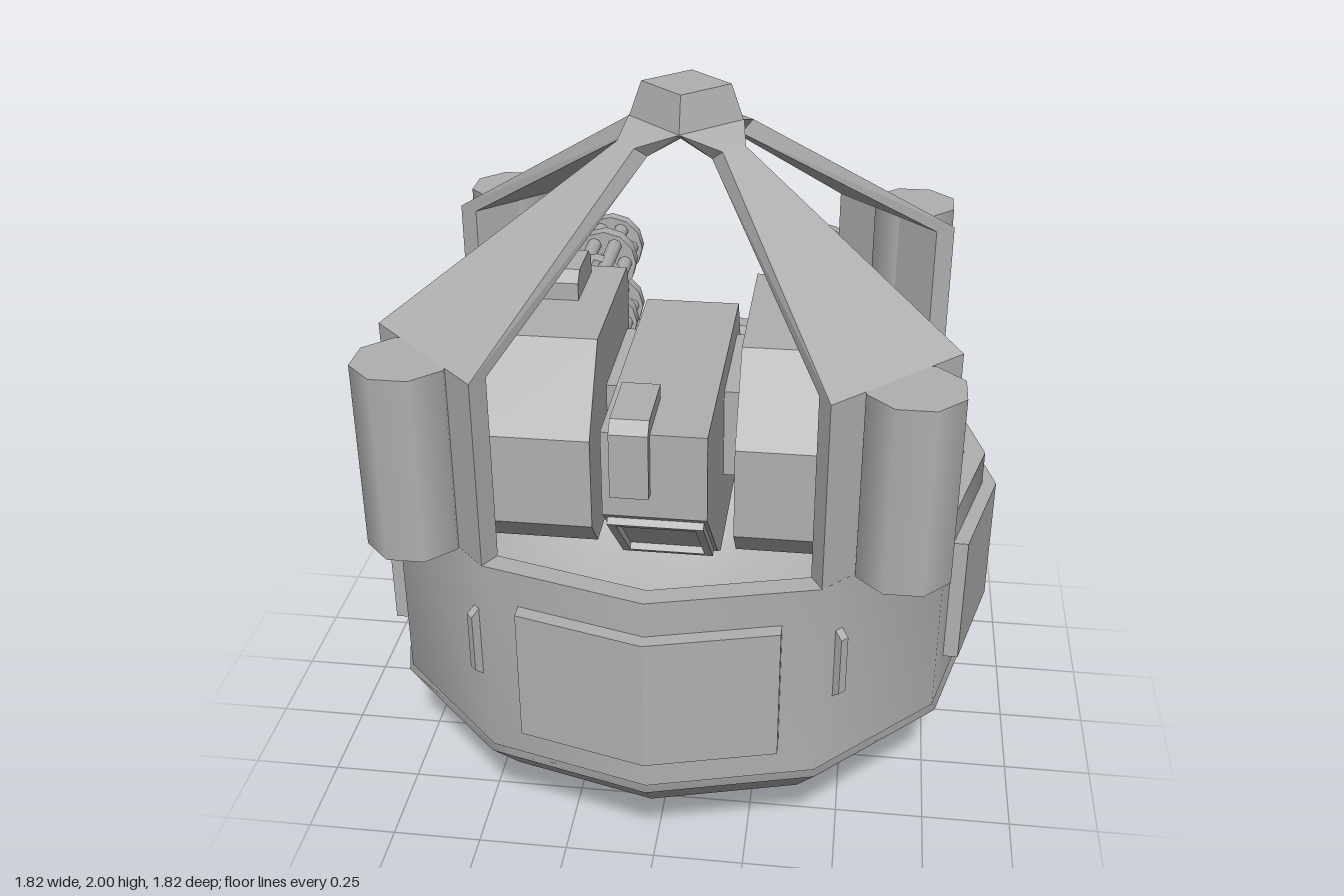
import * as THREE from 'three';
import { toCreasedNormals } from 'three/addons/utils/BufferGeometryUtils.js';
import { ConvexGeometry } from 'three/addons/geometries/ConvexGeometry.js';

const grey = new THREE.MeshStandardMaterial({ color: 0xb0b0b0, side: THREE.DoubleSide });
grey.name = 'hull grey';

const V = (x, y, z) => new THREE.Vector3(x, y, z);

function add(parent, name, geometry, x = 0, y = 0, z = 0) {
  const mesh = new THREE.Mesh(geometry, grey);
  mesh.name = name;
  mesh.position.set(x, y, z);
  parent.add(mesh);
  return mesh;
}

function group(parent, name) {
  const g = new THREE.Group();
  g.name = name;
  parent.add(g);
  return g;
}

// Box given by its min and max corners
function block(parent, name, x0, x1, y0, y1, z0, z1) {
  return add(parent, name, new THREE.BoxGeometry(x1 - x0, y1 - y0, z1 - z0),
    (x0 + x1) / 2, (y0 + y1) / 2, (z0 + z1) / 2);
}

// Side profile given as [z, y] pairs, extruded from x0 to x1
function slab(parent, name, profile, x0, x1) {
  const shape = new THREE.Shape(profile.map(([z, y]) => new THREE.Vector2(-z, y)));
  const geo = new THREE.ExtrudeGeometry(shape, { depth: x1 - x0, bevelEnabled: false });
  geo.rotateY(Math.PI / 2);
  return add(parent, name, geo, x0, 0, 0);
}

function lathe(profile, crease) {
  const geo = new THREE.LatheGeometry(profile.map(([r, y]) => new THREE.Vector2(r, y)), 12);
  return toCreasedNormals(geo, crease);
}

// Cylinder lying along z between two depths
function rod(parent, name, r, z0, z1, x = 0, y = 0, sides = 12) {
  const geo = new THREE.CylinderGeometry(r, r, z1 - z0, sides).rotateX(Math.PI / 2);
  return add(parent, name, geo, x, y, (z0 + z1) / 2);
}

// Rotary gun with six barrels, firing towards -z
function makeGun(parent, x, y) {
  const gun = group(parent, 'rotaryGun');
  gun.position.set(x, y, 0);
  rod(gun, 'gunMount', 0.1, -0.235, -0.15);
  rod(gun, 'gunBody', 0.085, -0.32, -0.235);
  rod(gun, 'gunCore', 0.03, -0.76, -0.3);
  rod(gun, 'bodyRing', 0.085, -0.5, -0.45);
  for (let i = 0; i < 4; i++) {
    const shell = new THREE.CylinderGeometry(0.085, 0.085, 0.14, 3, 1, true, i * Math.PI / 2, 0.85);
    add(gun, 'bodyShell', shell.rotateX(Math.PI / 2), 0, 0, -0.385);
  }
  for (let i = 0; i < 6; i++) {
    const a = i * Math.PI / 3;
    rod(gun, 'barrel', 0.024, -0.84, -0.3, 0.066 * Math.cos(a), 0.066 * Math.sin(a), 8);
  }
  rod(gun, 'barrelClamp', 0.103, -0.68, -0.635);
  rod(gun, 'muzzleClamp', 0.103, -0.81, -0.77);
}

export function createModel() {
  const model = new THREE.Group();
  model.name = 'gunTurret';

  // Bowl and twelve-sided wall
  add(model, 'bowl', lathe([[0, 0], [0.45, 0.065], [0.78, 0.235], [0.88, 0.345]], 0.8));
  add(model, 'wall', lathe([[0.8, 0.33], [0.83, 0.36], [0.87, 0.36], [0.87, 0.94],
    [0.81, 0.94], [0.79, 0.9], [0.8, 0.33]], 0.6));

  // Four quarters: armour panel, column, rounded pillar and roof strut
  for (let i = 0; i < 4; i++) {
    const quarter = group(model, 'quarter');
    quarter.rotation.y = i * Math.PI / 2;

    const panel = [];
    for (const y of [0.46, 0.84]) {
      for (const [x, z] of [[-0.34, 0.82], [0, 0.91], [0.34, 0.82], [0.34, 0.76], [-0.34, 0.76]]) {
        panel.push(V(x, y, z));
      }
    }
    add(quarter, 'armourPanel', new ConvexGeometry(panel));

    const chord = (a, b, y) => [V(a, y, b), V(b, y, a)];
    add(quarter, 'column', new ConvexGeometry([
      ...chord(0.435, 0.753, 0.9), ...chord(0.405, 0.7, 0.9),
      ...chord(0.435, 0.753, 1.46), ...chord(0.405, 0.7, 1.46)]));

    const pillar = new THREE.CylinderGeometry(0.13, 0.13, 0.52, 8).rotateY(Math.PI / 8);
    add(quarter, 'pillar', pillar, 0.635, 1.2, 0.635);

    const waist = [...chord(0.115, 0.17, 1.87), ...chord(0.085, 0.14, 1.84)];
    add(quarter, 'roofStrut', new ConvexGeometry([
      ...chord(0.435, 0.753, 1.46), ...chord(0.405, 0.7, 1.455), ...waist]));
    add(quarter, 'strutFlare', new ConvexGeometry([
      ...chord(0, 0.155, 1.905), ...chord(0, 0.12, 1.885), ...waist]));
  }
  add(model, 'roofCap', toCreasedNormals(new THREE.CylinderGeometry(0.12, 0.155, 0.1, 4), 0.5), 0, 1.95, 0);

  // Wall grips at the front and wedge fins at the back
  for (const s of [-1, 1]) {
    const grip = slab(model, 'wallGrip',
      [[-0.02, 0.57], [0.015, 0.6], [0.015, 0.77], [-0.02, 0.8]], -0.012, 0.012);
    grip.position.set(s * 0.48, 0, 0.72);
    grip.rotation.y = s * Math.PI / 4;
    slab(model, 'wedgeFin', [[-0.74, 0.5], [-0.79, 0.5], [-0.81, 0.63], [-0.81, 0.94], [-0.7, 0.94]],
      s * 0.425 - 0.015, s * 0.425 + 0.015);
  }

  // Central cabin
  const cabin = group(model, 'cabin');
  slab(cabin, 'cabinBody', [[0.66, 1.3], [0.66, 1.06], [0.38, 0.79], [0.3, 0.74], [-0.41, 0.74],
    [-0.41, 0.82], [-0.16, 1.3]], -0.135, 0.135);
  slab(cabin, 'cabinSight', [[0.46, 1.3], [0.46, 1.34], [0.66, 1.34], [0.69, 1.31], [0.69, 1.13],
    [0.65, 1.13], [0.65, 1.3]], -0.11, -0.01);

  // Frames around the lower window and the rear hatch
  const frame = (name, w, h, bar) => {
    const shape = new THREE.Shape([[-w, -h], [w, -h], [w, h], [-w, h]].map(p => new THREE.Vector2(...p)));
    const a = w - bar, b = h - bar;
    shape.holes.push(new THREE.Path([[-a, -b], [-a, b], [a, b], [a, -b]].map(p => new THREE.Vector2(...p))));
    return add(cabin, name, new THREE.ExtrudeGeometry(shape, { depth: 0.02, bevelEnabled: false }));
  };
  const windowFrame = frame('windowFrame', 0.125, 0.17, 0.022);
  windowFrame.position.set(0, 0.925, 0.52);
  windowFrame.rotation.x = Math.atan2(0.28, 0.27);
  const hatchFrame = frame('hatchFrame', 0.09, 0.2, 0.015);
  hatchFrame.position.set(0, 1.0, -0.316);
  hatchFrame.rotation.set(0, Math.PI, 0);
  hatchFrame.rotateX(-Math.atan2(0.25, 0.48));

  // Gun pods on both sides
  for (const s of [-1, 1]) {
    const pod = group(model, s > 0 ? 'leftPod' : 'rightPod');
    const span = (a, b) => (s > 0 ? [a, b] : [-b, -a]);
    slab(pod, 'podBody', [[0.36, 1.41], [0.52, 1.19], [0.52, 0.93], [0.44, 0.84], [-0.155, 0.84],
      [-0.155, 1.37], [-0.13, 1.41]], ...span(0.19, 0.505));
    slab(pod, 'podHatch', [[0.12, 1.41], [0.12, 1.46], [0.09, 1.49], [-0.05, 1.49], [-0.085, 1.46],
      [-0.085, 1.41]], ...span(0.285, 0.4));
    block(pod, 'podAxle', ...span(0.12, 0.2), 0.96, 1.22, -0.12, 0.25);

    // Side bars with sloped ends
    for (const z of [0.13, -0.02]) {
      const [a, b] = [s * 0.5, s * 0.575];
      const bar = [];
      for (const dz of [-0.028, 0.028]) {
        bar.push(V(a, 1.05, z + dz), V(a, 1.33, z + dz), V(b, 1.1, z + dz), V(b, 1.29, z + dz));
      }
      add(pod, 'sideBar', new ConvexGeometry(bar));
    }
    block(pod, 'sidePlate', ...span(0.5, 0.53), 1.1, 1.29, -0.02, 0.13);

    // Low arm tying the pod to the wall
    block(pod, 'wallArm', ...span(0.5, 0.76), 0.84, 0.88, -0.03, 0.03);
    slab(pod, 'armBracket', [[0.05, 0.9], [0.05, 0.78], [-0.03, 0.74], [-0.03, 0.9]], ...span(0.73, 0.8));

    for (const y of [1.21, 1.0]) makeGun(pod, s * 0.345, y);
  }
  return model;
}
